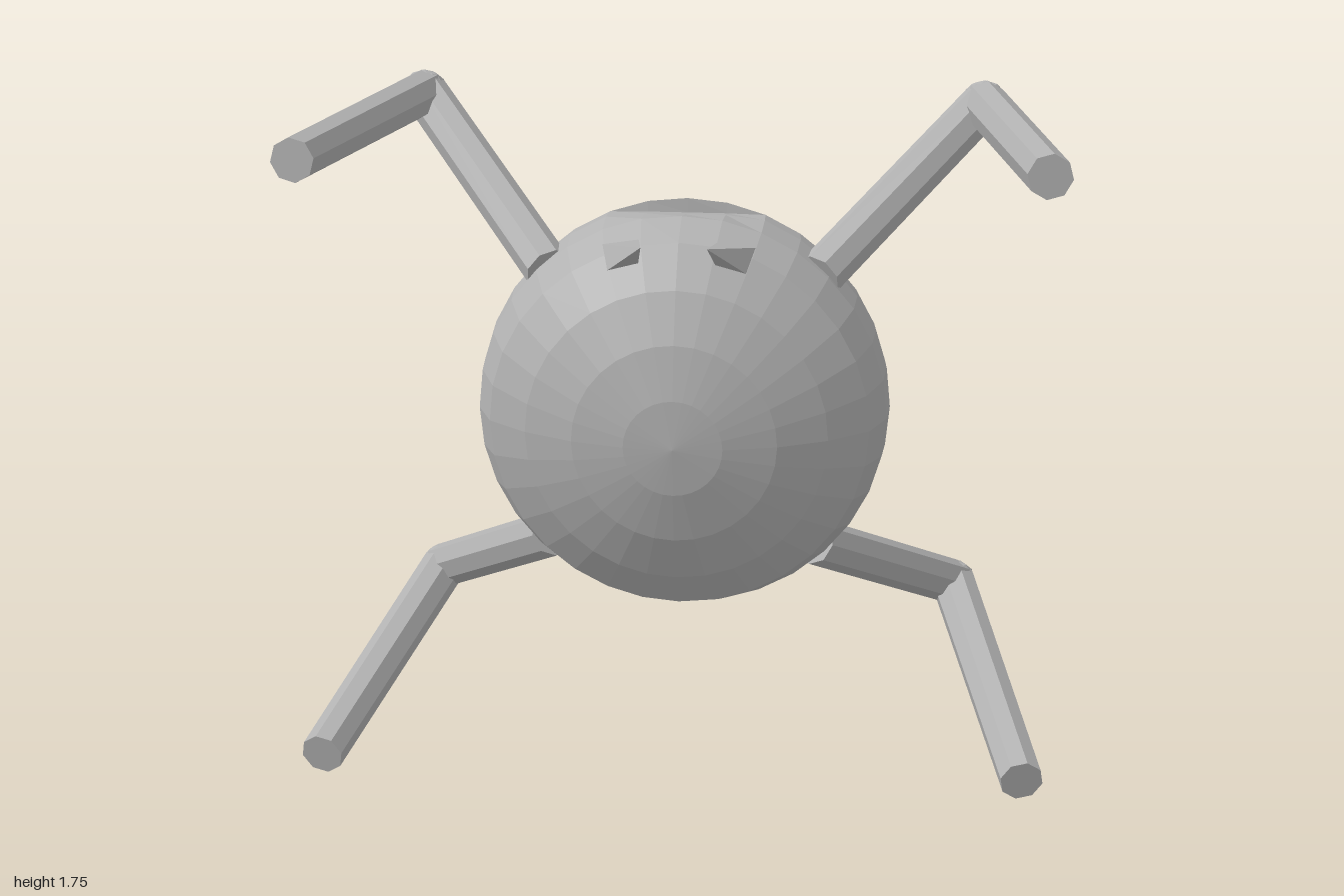
import * as THREE from 'three';

const grey = new THREE.MeshStandardMaterial({ color: 0xb2b2b2, flatShading: true });
grey.name = 'plain grey';

const v = (x, y, z) => new THREE.Vector3(x, y, z);

function part(name, geometry, parent) {
  const mesh = new THREE.Mesh(geometry, grey);
  mesh.name = name;
  parent.add(mesh);
  return mesh;
}

// Round, front-to-back flattened body with a shallow flat notch cut in its top
function bodyGeometry() {
  const profile = [
    [0, -0.345], [0.145, -0.332], [0.285, -0.293], [0.4, -0.23], [0.485, -0.15],
    [0.54, -0.05], [0.547, -0.03], [0.548, -0.025], [0.555, 0.05], [0.548, 0.15],
    [0.505, 0.255], [0.4, 0.337], [0.27, 0.398], [0.13, 0.434], [0, 0.446],
  ].map(([r, z]) => new THREE.Vector2(r, z));
  const geo = new THREE.LatheGeometry(profile, 32);
  geo.rotateX(Math.PI / 2);
  geo.translate(0, 0.908, 0);
  const p = geo.attributes.position;
  for (let i = 0; i < p.count; i++) {
    const z = p.getZ(i);
    if (z > -0.027 && z < 0.2) {
      p.setY(i, Math.min(p.getY(i), 1.455 - (0.15 - z) * 0.22));
    }
  }
  geo.computeVertexNormals();
  return geo;
}

// Four-sided spike from base corners (anticlockwise seen from outside) to a tip
function spikeGeometry(corners, tip) {
  const pts = [];
  const n = corners.length;
  corners.forEach((c, i) => pts.push(c, corners[(i + 1) % n], tip));
  const geo = new THREE.BufferGeometry().setFromPoints(pts);
  geo.computeVertexNormals();
  return geo;
}

// Straight eight-sided limb piece between two points
function segment(name, a, b, ra, rb, parent) {
  const dir = b.clone().sub(a);
  const geo = new THREE.CylinderGeometry(rb, ra, dir.length(), 8);
  const mesh = part(name, geo, parent);
  mesh.position.copy(a).add(b).multiplyScalar(0.5);
  mesh.quaternion.setFromUnitVectors(v(0, 1, 0), dir.normalize());
}

function limb(name, side, hip, joint, tip) {
  const group = new THREE.Group();
  group.name = name;
  const [a, b, c] = [hip, joint, tip].map(([x, y, z]) => v(side * x, y, z));
  segment(name + 'Inner', a, b, 0.064, 0.064, group);
  segment(name + 'Outer', b, c, 0.064, 0.058, group);
  part(name + 'Joint', new THREE.IcosahedronGeometry(0.065, 1), group).position.copy(b);
  return group;
}

export function createModel() {
  const model = new THREE.Group();
  model.name = 'roundCreature';
  part('body', bodyGeometry(), model);

  for (const side of [1, -1]) {
    const label = side > 0 ? 'left' : 'right';

    // Arms and legs fold back, then reach forward
    model.add(limb(label + 'Arm', side, [0.36, 1.29, 0.115], [0.79, 1.615, -0.515], [0.94, 1.692, 0.56]));
    model.add(limb(label + 'Leg', side, [0.36, 0.535, 0.115], [0.745, 0.235, -0.35], [0.93, 0.058, 0.565]));

    // Small pointed spike on the upper front
    const corners = [
      v(side * 0.18, 1.35, 0.31), v(side * 0.1, 1.37, 0.305),
      v(side * 0.105, 1.415, 0.24), v(side * 0.2, 1.4, 0.24),
    ];
    if (side > 0) corners.reverse();
    part(label + 'Spike', spikeGeometry(corners, v(side * 0.085, 1.437, 0.39)), model);
  }
  return model;
}
